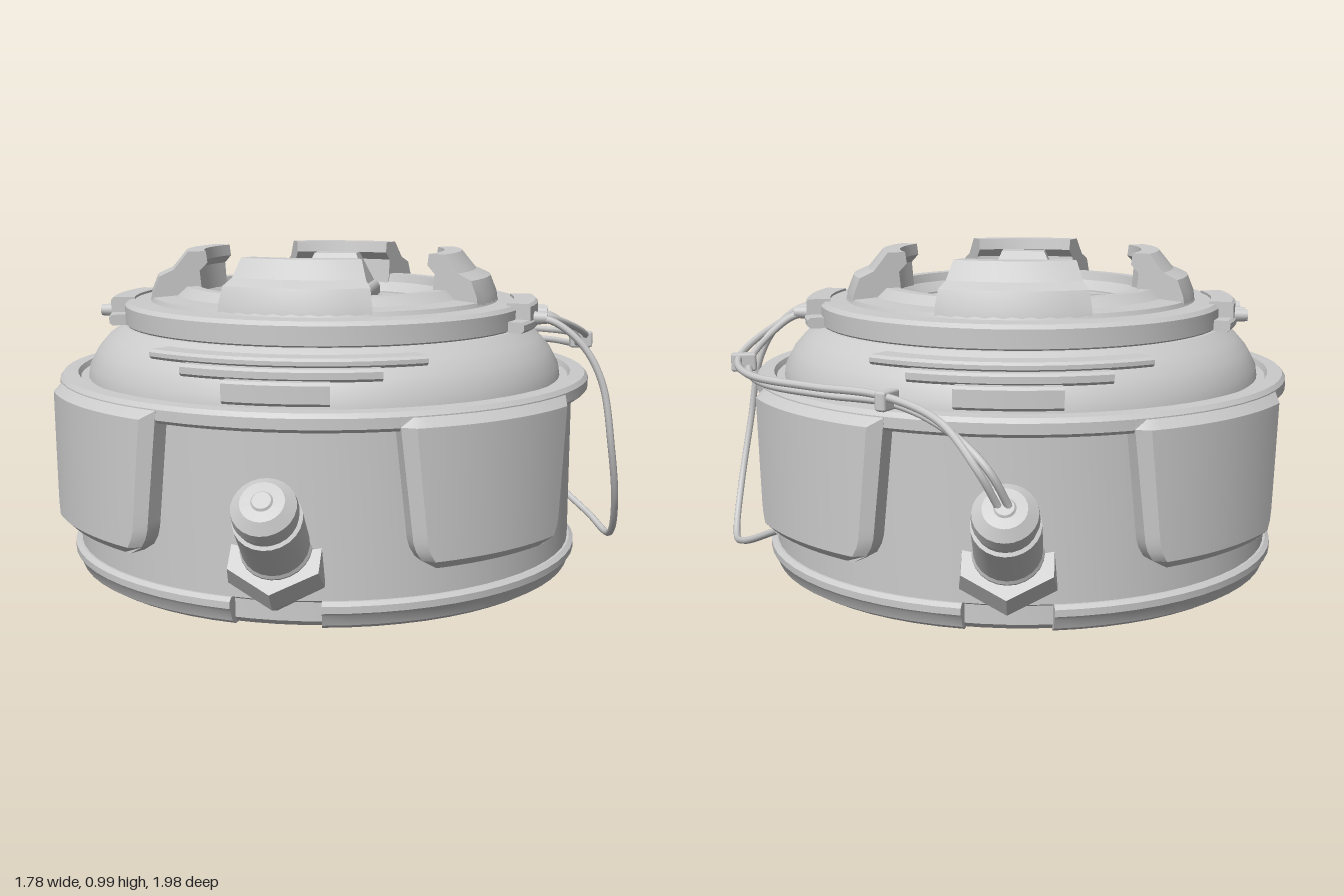
import * as THREE from 'three';
import { mergeGeometries, toCreasedNormals } from 'three/addons/utils/BufferGeometryUtils.js';
import { RoundedBoxGeometry } from 'three/addons/geometries/RoundedBoxGeometry.js';

const grey = new THREE.MeshStandardMaterial({ color: 0xcccccc, side: THREE.DoubleSide });
const V2 = (list) => list.map(([x, y]) => new THREE.Vector2(x, y));
const V3 = (list) => list.map((p) => new THREE.Vector3(...p));
const CX = -0.055; // body axis; the side cable widens the model on +x

function add(parent, name, geometry, x = 0, y = 0, z = 0) {
  const mesh = new THREE.Mesh(geometry, grey);
  mesh.name = name;
  mesh.position.set(x, y, z);
  parent.add(mesh);
  return mesh;
}

const turned = (profile, segments = 64) =>
  toCreasedNormals(new THREE.LatheGeometry(V2(profile), segments), 0.45);

// Closed ring sector: a section swept about y, angle 0 facing +z
function sector(profile, angle, half) {
  const points = V2(profile);
  const segments = Math.max(6, Math.ceil(half * 20));
  const sweep = new THREE.LatheGeometry([...points, points[0]], segments, angle - half, half * 2);
  const caps = [-half, half].map((a) =>
    new THREE.ShapeGeometry(new THREE.Shape(points)).rotateY(angle + a - Math.PI / 2));
  return toCreasedNormals(mergeGeometries([sweep, ...caps].map((g) => g.toNonIndexed())), 0.45);
}

// Rectangular section for sector()
const rect = (r0, r1, y0, y1, b = 0.008) =>
  [[r0, y0], [r1 - b, y0], [r1, y0 + b], [r1, y1 - b], [r1 - b, y1], [r0, y1]];

// Box whose top is narrower than its base
function taperedBox(w, h, d, topW, topD) {
  const g = new THREE.BoxGeometry(w, h, d).translate(0, h / 2, 0);
  const p = g.attributes.position;
  for (let i = 0; i < p.count; i++) {
    if (p.getY(i) > h / 2) p.setXYZ(i, p.getX(i) * topW / w, h, p.getZ(i) * topD / d);
  }
  return toCreasedNormals(g, 0.4);
}

// Curved shield with rounded lower corners and a bevelled rim
function padGeometry(angle) {
  const nx = 20, ny = 18, y0 = 0.175, y1 = 0.597;
  const g = new THREE.PlaneGeometry(2, 2, nx, ny);
  const p = g.attributes.position;
  const rim = (i, n) => Math.min(i, n - i); // rings from the edge
  for (let i = 0; i < p.count; i++) {
    const col = i % (nx + 1), row = Math.floor(i / (nx + 1));
    const ring = Math.min(rim(col, nx), rim(row, ny), 2);
    const inset = [0, 0, 0.025][ring];
    const place = (k, n) => {
      const e = rim(k, n);
      const t = e === 0 ? 0 : e === 1 ? 0.001 : 0.06 + (e - 2) / (n / 2 - 2) * 0.44;
      return k < n / 2 ? t : 1 - t;
    };
    const u = place(col, nx) * 2 - 1, v = 1 - place(row, ny);
    const corner = Math.max(0, 1 - v / 0.2);
    const half = 0.315 + 0.06 * v - 0.08 * (1 - Math.sqrt(1 - corner * corner));
    const r = [0.77, 0.835, 0.835 + inset][ring];
    const a = angle + u * half;
    p.setXYZ(i, r * Math.sin(a), y0 + v * (y1 - y0), r * Math.cos(a));
  }
  return toCreasedNormals(g, 0.6);
}

function valve() {
  const group = new THREE.Group();
  group.name = 'valve';
  add(group, 'valveStem', turned([[0, -0.12], [0.1, -0.12], [0.1, 0.05], [0.095, 0.06], [0.095, 0.2],
    [0.085, 0.205], [0.085, 0.222], [0.091, 0.23], [0.088, 0.262], [0.06, 0.287], [0.03, 0.29],
    [0.025, 0.296], [0, 0.296]], 24));
  const hex = (a, b, h) => toCreasedNormals(new THREE.CylinderGeometry(a, b, h, 6), 0.4);
  add(group, 'valveNut', hex(0.145, 0.155, 0.07), 0, 0.01);
  add(group, 'valveNutBase', hex(0.155, 0.11, 0.09), 0, -0.07);
  group.position.set(0, 0.2, 0.745);
  group.rotation.x = Math.PI / 4;
  return group;
}

function cable(parent, name, points) {
  const curve = new THREE.CatmullRomCurve3(V3(points));
  add(parent, name, new THREE.TubeGeometry(curve, 90, 0.011, 8));
}

export function createModel() {
  const model = new THREE.Group();
  model.name = 'canister';
  const body = new THREE.Group();
  body.name = 'body';
  body.position.x = CX;
  model.add(body);

  // Drum, flange and shoulder
  add(body, 'drum', turned([[0, 0.004], [0.75, 0.004], [0.765, 0.02], [0.765, 0.075], [0.785, 0.085],
    [0.785, 0.555], [0.825, 0.56], [0.835, 0.57], [0.835, 0.6], [0.825, 0.613], [0.78, 0.615],
    [0.772, 0.6], [0.747, 0.6], [0.742, 0.635], [0.715, 0.685], [0.68, 0.725], [0.635, 0.757],
    [0.58, 0.765]]));

  // Stepped lid with a recess in its middle
  add(body, 'lid', turned([[0.58, 0.755], [0.622, 0.755], [0.63, 0.763], [0.63, 0.818], [0.618, 0.83],
    [0.55, 0.832], [0.545, 0.845], [0.47, 0.85], [0.44, 0.877], [0.402, 0.877], [0.395, 0.85],
    [0.365, 0.82], [0.36, 0.75], [0, 0.75]]));

  // Notched ring inside the recess
  const ring = new THREE.Shape().absarc(0, 0, 0.39, 0, Math.PI * 2);
  const notches = [];
  for (let i = 0; i < 64; i++) {
    const a = i / 64 * Math.PI * 2, r = i % 8 < 5 ? 0.31 : 0.35;
    notches.push(new THREE.Vector2(r * Math.cos(a), r * Math.sin(a)));
  }
  ring.holes.push(new THREE.Path(notches));
  const ringGeometry = new THREE.ExtrudeGeometry(ring, { depth: 0.06, bevelEnabled: false, curveSegments: 32 });
  add(body, 'notchedRing', ringGeometry.rotateX(-Math.PI / 2), 0, 0.755);

  // Turning handle
  const handle = new THREE.Group();
  handle.name = 'handle';
  body.add(handle);
  add(handle, 'handleBase', new RoundedBoxGeometry(0.27, 0.12, 0.71, 2, 0.025), 0, 0.8);
  add(handle, 'handleMiddle', taperedBox(0.23, 0.03, 0.5, 0.15, 0.5), 0, 0.858);
  for (const s of [-1, 1]) {
    add(handle, 'handleEnd', taperedBox(0.23, 0.1, 0.17, 0.14, 0.075), 0, 0.857, s * 0.247);
  }

  // Four lid grips
  const gripSection = [[0.39, 0.82], [0.55, 0.82], [0.545, 0.86], [0.525, 0.91], [0.48, 0.93],
    [0.435, 0.985], [0.38, 0.985], [0.375, 0.95], [0.4, 0.925]];
  for (let i = 0; i < 4; i++) {
    add(body, 'lidGrip', sector(gripSection, i * Math.PI / 2, 0.42));
    add(body, 'shieldPad', padGeometry((i + 0.5) * Math.PI / 2));
  }

  // Base bands, split at the valves
  const baseSection = [[0.74, 0], [0.76, 0], [0.785, 0.015], [0.797, 0.045], [0.805, 0.055],
    [0.805, 0.075], [0.792, 0.085], [0.74, 0.085]];
  for (const s of [-1, 1]) {
    add(body, 'baseBand', sector(baseSection, s * Math.PI / 2, Math.PI / 2 - 0.16));
  }

  // Front and back: valve and stepped latch
  for (const a of [0, Math.PI]) {
    const side = new THREE.Group();
    side.name = a ? 'backFittings' : 'frontFittings';
    side.rotation.y = a;
    body.add(side);
    side.add(valve());
    add(side, 'latchTop', sector(rect(0.62, 0.73, 0.715, 0.743), 0, 0.57));
    add(side, 'latchMiddle', sector(rect(0.64, 0.76, 0.683, 0.718), 0, 0.38));
    add(side, 'latchBottom', sector(rect(0.66, 0.79, 0.622, 0.687), 0, 0.19));
  }

  // Left and right: cable brackets with studs
  for (const s of [-1, 1]) {
    const a = s * Math.PI / 2;
    add(body, 'bracketFoot', sector(rect(0.58, 0.68, 0.757, 0.79), a, 0.35));
    add(body, 'bracketTop', sector(rect(0.6, 0.675, 0.765, 0.838), a, 0.24));
    for (const z of [0.1, -0.04, -0.1]) {
      const stud = new THREE.CylinderGeometry(0.018, 0.022, 0.06, 12).rotateZ(-a);
      add(body, 'bracketStud', stud, s * 0.675, 0.79, z);
    }
  }

  // Hanging side cable
  cable(model, 'sideCable', [[0.6, 0.79, 0.1], [0.67, 0.78, 0.11], [0.76, 0.71, 0.12], [0.82, 0.6, 0.125],
    [0.855, 0.4, 0.115], [0.875, 0.2, 0.035], [0.865, 0.07, -0.09], [0.8, 0.09, -0.26], [0.65, 0.18, -0.44]]);

  // Twin cable running to the back valve, with its clamps
  for (const s of [-1, 1]) {
    const o = s * 0.014;
    cable(model, 'twinCable', [[0.6, 0.79, -0.07 + s * 0.03], [0.66, 0.775, -0.08 + s * 0.03],
      [0.74, 0.715 + o, -0.19 + o], [0.76 + o, 0.67 + o, -0.33], [0.67 + o, 0.655 + o, -0.54 - o],
      [0.47 + o, 0.65 + o, -0.67 - o], [0.27 + o, 0.645 + o, -0.76 - o], [0.1 + o, 0.6 + o, -0.895],
      [0.0 + o, 0.51, -0.975], [CX + o, 0.4, -0.945]]);
  }
  const clamp = new RoundedBoxGeometry(0.075, 0.055, 0.035, 1, 0.008);
  add(model, 'cableClamp', clamp, 0.76, 0.67, -0.33).rotation.y = 0.25;
  add(model, 'cableClamp', clamp, 0.27, 0.645, -0.76).rotation.y = 1.1;

  return model;
}
